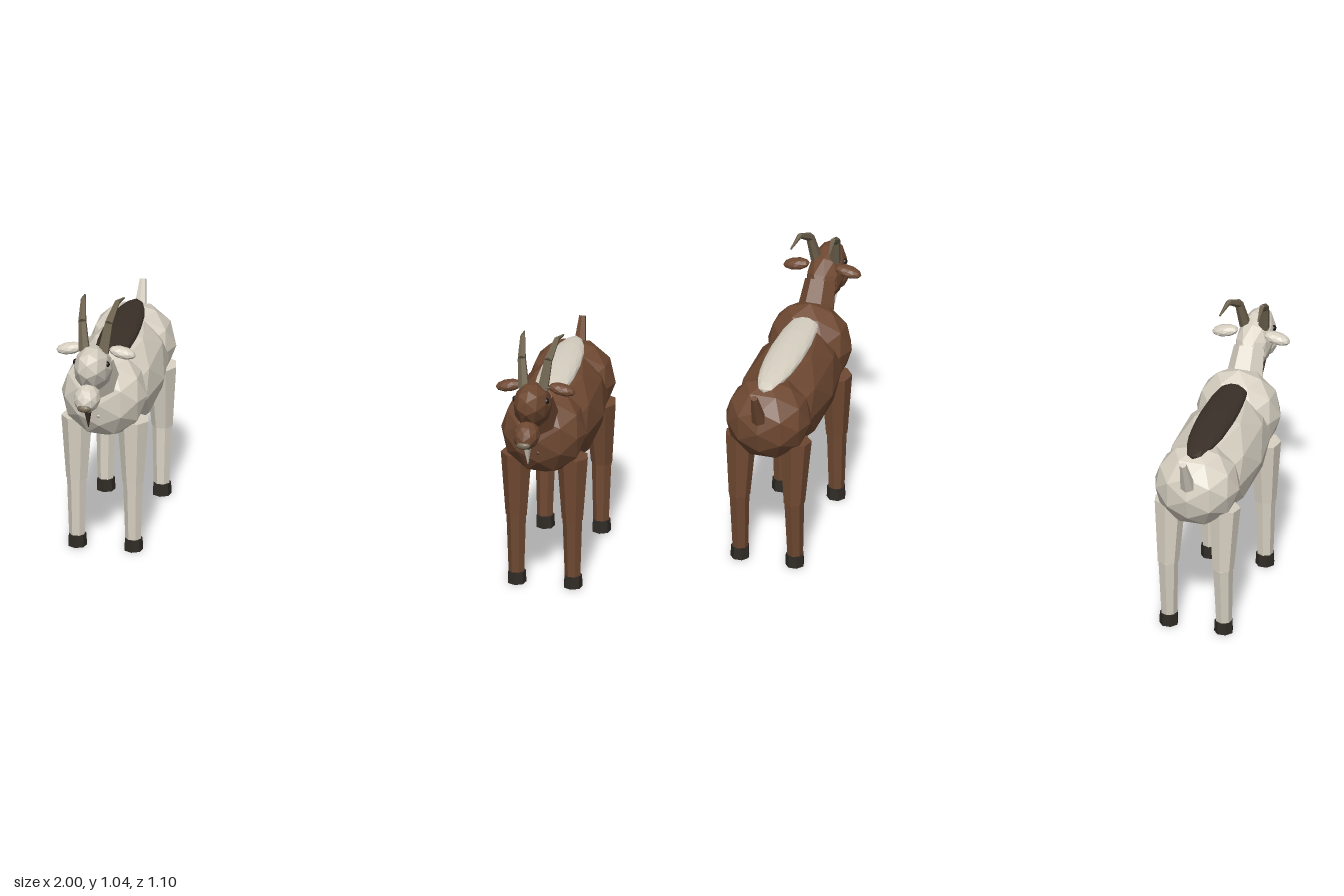
import * as THREE from 'three';

const flat = (name, color) => {
  const m = new THREE.MeshStandardMaterial({ color, flatShading: true });
  m.name = name;
  return m;
};

// Faceted ellipsoid
function blob(parent, name, mat, pos, radii, tilt = [0, 0, 0], detail = 1) {
  const mesh = new THREE.Mesh(new THREE.IcosahedronGeometry(1, detail), mat);
  mesh.name = name;
  mesh.scale.set(...radii);
  mesh.rotation.set(...tilt);
  mesh.position.set(...pos);
  parent.add(mesh);
  return mesh;
}

// Tapered cylinder running from point a to point b
function limb(parent, name, mat, a, b, ra, rb, sides = 7) {
  const from = new THREE.Vector3(...a), to = new THREE.Vector3(...b);
  const dir = to.clone().sub(from);
  const mesh = new THREE.Mesh(new THREE.CylinderGeometry(rb, ra, dir.length(), sides), mat);
  mesh.name = name;
  mesh.quaternion.setFromUnitVectors(new THREE.Vector3(0, 1, 0), dir.normalize());
  mesh.position.copy(from.add(to).multiplyScalar(0.5));
  parent.add(mesh);
  return mesh;
}

function makeGoat(name, coat, accent, shared) {
  const { horn, hoof, eye } = shared;
  const goat = new THREE.Group();
  goat.name = name;

  // Torso
  blob(goat, 'belly', coat, [0, 0.585, -0.11], [0.17, 0.178, 0.39]);
  blob(goat, 'chest', coat, [0, 0.63, 0.16], [0.162, 0.17, 0.125]);
  blob(goat, 'rump', coat, [0, 0.607, -0.362], [0.163, 0.158, 0.145]);
  blob(goat, 'backStripe', accent, [0, 0.75, -0.11], [0.07, 0.03, 0.32], [0, 0, 0], 2);
  limb(goat, 'tail', coat, [0, 0.66, -0.483], [0, 0.785, -0.542], 0.028, 0.013, 6);

  // Neck and head
  limb(goat, 'neck', coat, [0, 0.66, 0.195], [0, 0.82, 0.3], 0.078, 0.06);
  blob(goat, 'head', coat, [0, 0.82, 0.368], [0.07, 0.087, 0.135], [-0.45, 0, 0]);
  blob(goat, 'muzzle', coat, [0, 0.745, 0.478], [0.05, 0.053, 0.068]);
  blob(goat, 'nose', horn, [0, 0.727, 0.536], [0.027, 0.015, 0.015]);
  limb(goat, 'beard', accent, [0, 0.71, 0.475], [0, 0.62, 0.455], 0.019, 0.002, 5);

  for (const s of [1, -1]) {
    const side = s > 0 ? 'left' : 'right';
    blob(goat, side + 'Eye', eye, [s * 0.058, 0.855, 0.403], [0.012, 0.012, 0.012]);
    blob(goat, side + 'Ear', coat, [s * 0.1, 0.868, 0.315], [0.052, 0.022, 0.03], [0, 0, -s * 0.2]);

    // Horn in three tapering, backswept pieces
    const path = [[0.036, 0.88, 0.357], [0.05, 0.985, 0.325], [0.064, 1.035, 0.24], [0.074, 1.02, 0.16]];
    const radii = [0.022, 0.016, 0.01, 0.003];
    for (let i = 0; i < 3; i++) {
      const [a, b] = [path[i], path[i + 1]].map(([x, y, z]) => [s * x, y, z]);
      limb(goat, side + 'Horn' + (i + 1), horn, a, b, radii[i], radii[i + 1], 6);
    }

    // Legs: z of the shoulder or hip, knee and hoof
    for (const [end, top, knee, foot] of [['Front', 0.143, 0.148, 0.147], ['Rear', -0.365, -0.386, -0.373]]) {
      const x = s * 0.106;
      limb(goat, side + end + 'UpperLeg', coat, [x, 0.525, top], [x, 0.275, knee], 0.06, 0.041);
      limb(goat, side + end + 'LowerLeg', coat, [x, 0.277, knee], [x, 0.04, foot], 0.038, 0.03);
      limb(goat, side + end + 'Hoof', hoof, [x, 0, foot], [x, 0.047, foot], 0.036, 0.034);
    }
  }
  return goat;
}

export function createModel() {
  const cream = flat('cream coat', 0xd8d1c3);
  const brown = flat('brown coat', 0x6f4932);
  const dark = flat('dark markings', 0x3a3028);
  const shared = {
    horn: flat('horn', 0x706450),
    hoof: flat('hoof', 0x302b26),
    eye: flat('eye', 0x1a1614),
  };

  const model = new THREE.Group();
  model.name = 'goatPair';
  const creamGoat = makeGoat('creamGoat', cream, dark, shared);
  creamGoat.position.x = -0.83;
  const brownGoat = makeGoat('brownGoat', brown, cream, shared);
  brownGoat.position.x = 0.83;
  model.add(creamGoat, brownGoat);
  return model;
}
